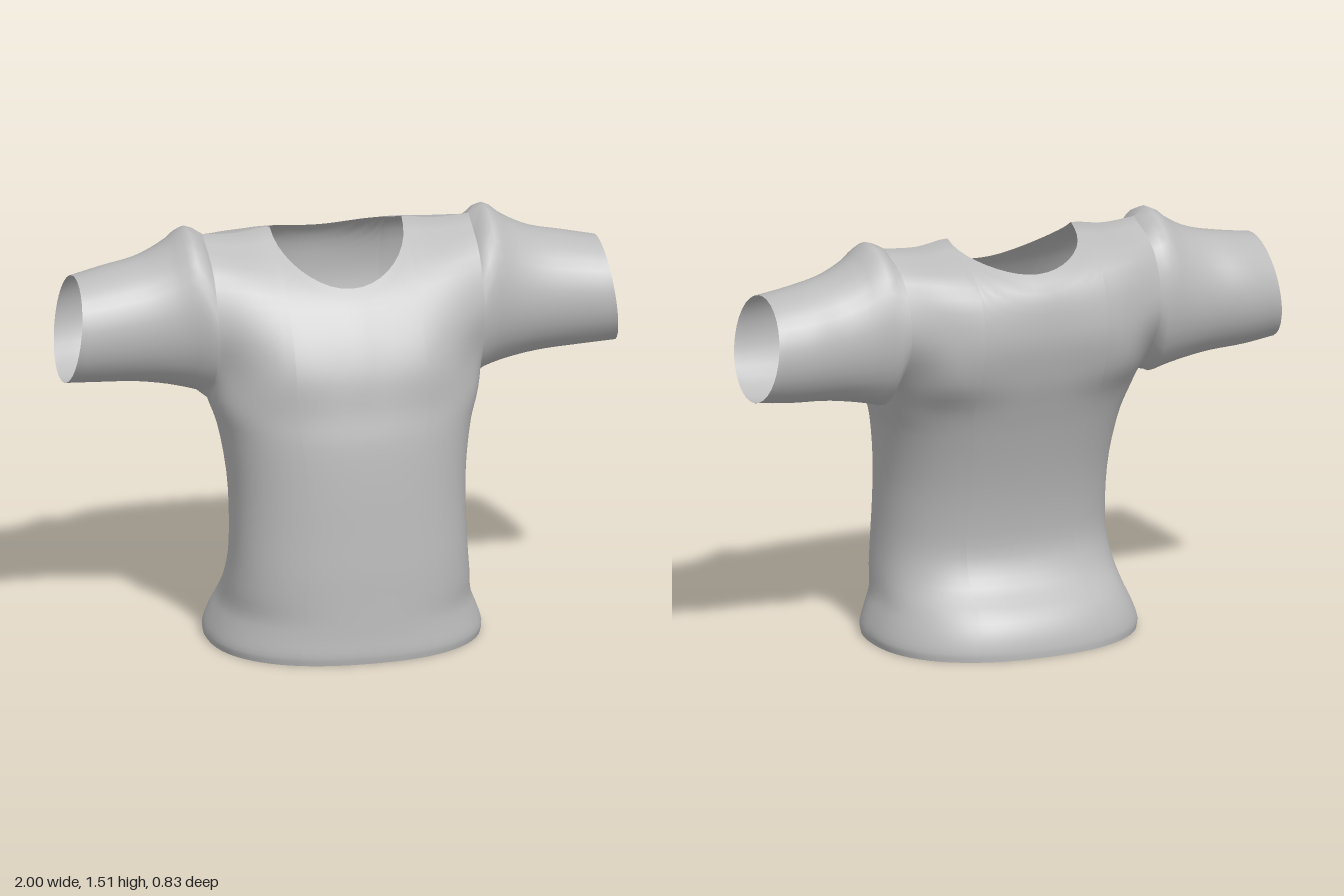
import * as THREE from 'three';
import { mergeGeometries, mergeVertices } from 'three/addons/utils/BufferGeometryUtils.js';

const ARMPIT_X = 0.485, NECK_X = 0.24, NECK_Z = -0.08, UPPER_ROWS = 16;

// Torso rings: y, half width, front z, back z
const TORSO = [
  [0, 0.488, 0.412, -0.393], [0.03, 0.492, 0.417, -0.393], [0.09, 0.472, 0.414, -0.378],
  [0.15, 0.448, 0.412, -0.342], [0.23, 0.436, 0.41, -0.252], [0.33, 0.425, 0.408, -0.206],
  [0.46, 0.42, 0.402, -0.211], [0.62, 0.424, 0.395, -0.243], [0.8, 0.452, 0.38, -0.297],
  [0.9, 0.485, 0.36, -0.333],
];
// Chest and shoulder stations: x, then y, z of three points, then top y
const FRONT = [
  [0, 1.05, 0.335, 1.2, 0.265, 1.32, 0.17, 1.47], [0.24, 1.05, 0.315, 1.2, 0.25, 1.34, 0.145, 1.49],
  [0.36, 1.04, 0.255, 1.2, 0.22, 1.36, 0.12, 1.474], [0.485, 1.02, 0.125, 1.2, 0.165, 1.38, 0.085, 1.482],
];
const BACK = [
  [0, 1.03, -0.38, 1.2, -0.41, 1.37, -0.365, 1.47], [0.24, 1.03, -0.37, 1.2, -0.402, 1.38, -0.345, 1.49],
  [0.36, 1.03, -0.335, 1.2, -0.37, 1.39, -0.315, 1.474], [0.485, 1.02, -0.21, 1.2, -0.318, 1.4, -0.25, 1.482],
];
// Sleeve stations: x, top y, bottom y, front z, back z
const SLEEVE = [
  [0.485, 1.482, 0.905, 0.165, -0.318], [0.55, 1.508, 0.925, 0.143, -0.306], [0.62, 1.46, 0.943, 0.126, -0.295],
  [0.72, 1.412, 0.96, 0.115, -0.284], [0.85, 1.383, 0.969, 0.112, -0.282], [0.975, 1.36, 0.98, 0.115, -0.256],
];

// Smooth interpolation of table rows by their first column
function lookup(table, x) {
  let i = 0;
  while (i < table.length - 2 && x > table[i + 1][0]) i++;
  const slope = (k, c) => {
    const a = table[Math.max(k - 1, 0)], b = table[Math.min(k + 1, table.length - 1)];
    return (b[c] - a[c]) / (b[0] - a[0]);
  };
  const a = table[i], b = table[i + 1], h = b[0] - a[0], t = (x - a[0]) / h;
  return a.map((v, c) => {
    const s = t * t * (3 - 2 * t);
    return v + (b[c] - v) * s + h * (slope(i, c) * t * (1 - t) ** 2 - slope(i + 1, c) * t * t * (1 - t));
  });
}

// Grid of points to an indexed surface
function grid(lines, flip) {
  const n = lines[0].length, index = [];
  for (let i = 0; i < lines.length - 1; i++) {
    for (let j = 0; j < n - 1; j++) {
      const a = i * n + j, b = a + n, c = b + 1, d = a + 1;
      index.push(...(flip ? [a, c, b, a, d, c] : [a, b, c, a, c, d]));
    }
  }
  const geometry = new THREE.BufferGeometry().setFromPoints(lines.flat());
  return geometry.setIndex(index);
}

// One line from hem to shoulder, or to the neck opening
const LOWER_ROWS = (TORSO.length - 1) * 3;
function column(x, side) {
  const ax = Math.abs(x), u = Math.min(1, ax / ARMPIT_X);
  const bulge = Math.pow(Math.max(0, 1 - u ** 2.3), 1 / 2.3);
  const points = TORSO.map(([y, w, f, b]) =>
    new THREE.Vector3(x / ARMPIT_X * w, y, (f + b) / 2 + side * bulge * (f - b) / 2));
  const s = lookup(side > 0 ? FRONT : BACK, ax);
  for (const k of [1, 3, 5]) points.push(new THREE.Vector3(x, s[k], s[k + 1]));
  points.push(new THREE.Vector3(x, s[7], NECK_Z));
  const curve = new THREE.CatmullRomCurve3(points);
  const start = (TORSO.length - 1) / (points.length - 1);
  let end = 1;
  if (ax < NECK_X - 1e-6) {
    const rim = 0.25 * Math.sqrt(1 - (ax / NECK_X) ** 2);
    let low = start;
    for (let k = 0; k < 30; k++) {
      const mid = (low + end) / 2;
      if (side * (curve.getPoint(mid).z - NECK_Z) > rim) low = mid; else end = mid;
    }
  }
  const line = [];
  for (let j = 0; j <= LOWER_ROWS; j++) line.push(curve.getPoint(start * j / LOWER_ROWS));
  for (let j = 1; j <= UPPER_ROWS; j++) line.push(curve.getPoint(start + (end - start) * j / UPPER_ROWS));
  return line;
}

// Sleeve rings, starting from the armhole edge
function sleeve(front, back, dir) {
  const rings = [[...front.slice(LOWER_ROWS), ...back.slice(LOWER_ROWS, -1).reverse()]];
  const steps = 16;
  for (let i = 1; i <= steps; i++) {
    const x = ARMPIT_X + (0.975 - ARMPIT_X) * i / steps;
    const [, top, bottom, f, b] = lookup(SLEEVE, x);
    const cy = (top + bottom) / 2, cz = (f + b) / 2, ring = [];
    for (let j = 0; j <= UPPER_ROWS * 2; j++) {
      const a = Math.PI * j / UPPER_ROWS;
      const y = cy - Math.cos(a) * (top - bottom) / 2;
      ring.push(new THREE.Vector3(dir * (x - (y - cy) * 0.13 * i / steps), y, cz + Math.sin(a) * (f - b) / 2));
    }
    rings.push(ring);
  }
  return grid(rings, dir < 0);
}

export function createModel() {
  const group = new THREE.Group();
  group.name = 'shirt';
  const cloth = new THREE.MeshStandardMaterial({ color: 0xbcbcbc, side: THREE.DoubleSide });
  cloth.name = 'grey cloth';

  // Columns crowd together at the neck corners and the side seams
  const half = [];
  for (let i = 1; i <= 10; i++) half.push(NECK_X * Math.sin(i / 10 * Math.PI / 2));
  for (let i = 1; i <= 12; i++) half.push(NECK_X + (ARMPIT_X - NECK_X) * Math.sin(i / 12 * Math.PI / 2));
  const xs = [...half.map(x => -x).reverse(), 0, ...half];
  const front = xs.map(x => column(x, 1));
  const back = xs.map(x => column(x, -1));

  // Close the side seams below the armpits
  const last = xs.length - 1;
  for (const i of [0, last]) {
    for (let j = 0; j <= LOWER_ROWS; j++) back[i][j].copy(front[i][j]);
  }

  // Front, back and sleeves become one smooth shell
  const shell = mergeVertices(mergeGeometries([
    grid(front, false), grid(back, true),
    sleeve(front[last], back[last], 1), sleeve(front[0], back[0], -1),
  ]), 1e-4);
  shell.computeVertexNormals();
  const mesh = new THREE.Mesh(shell, cloth);
  mesh.name = 'shirtShell';
  group.add(mesh);
  return group;
}
